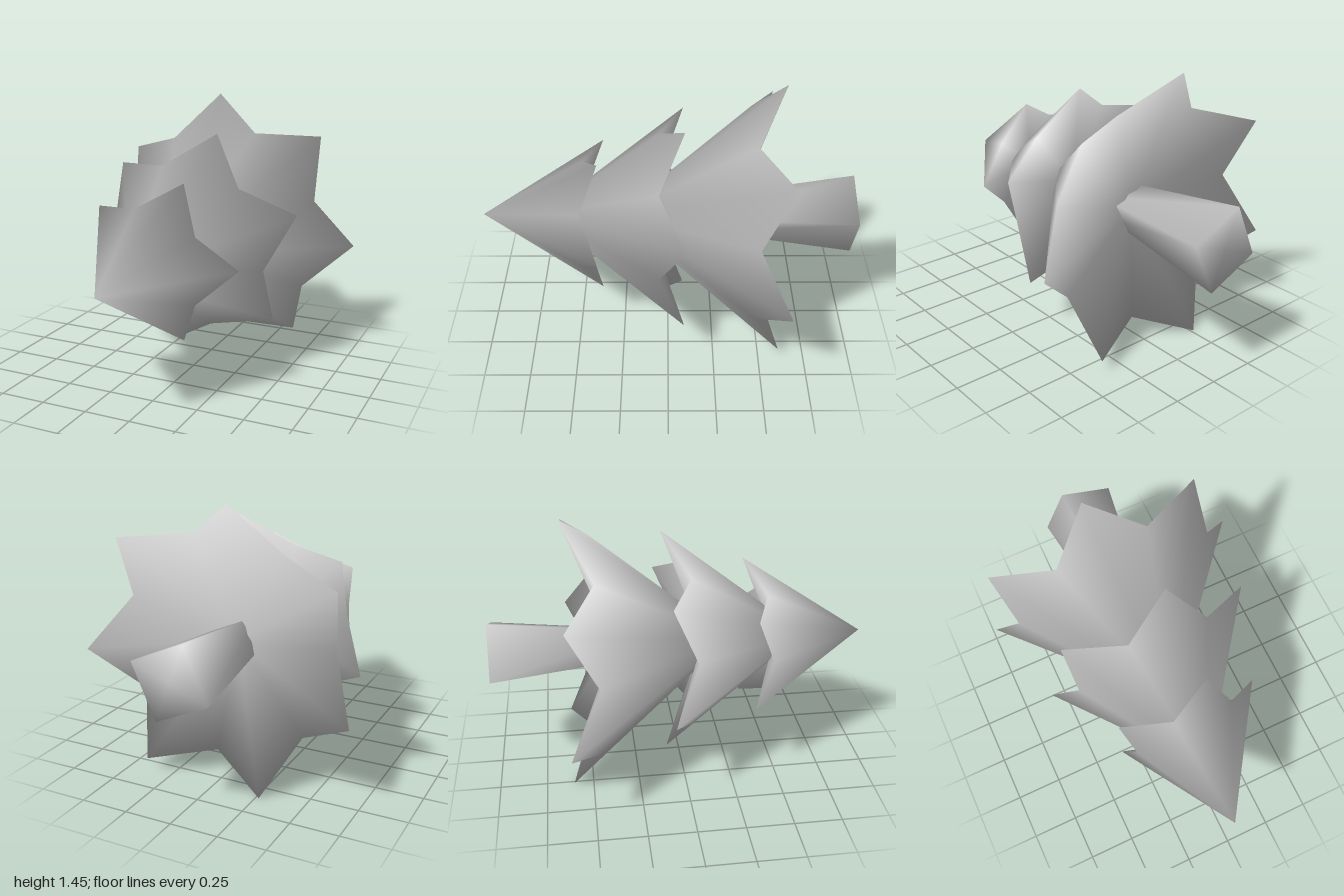
import * as THREE from 'three';

const CX = -0.02, CY = 0.712; // tree axis, running along z

// Ring of points, counter-clockwise seen from the tip; each spoke is [radius, z]
function ring(count, phaseDeg, spokes) {
  const n = count * spokes.length, pts = [];
  for (let i = 0; i < n; i++) {
    const a = THREE.MathUtils.degToRad(phaseDeg) + (i / n) * Math.PI * 2;
    const [r, z] = spokes[i % spokes.length];
    pts.push(new THREE.Vector3(CX + r * Math.cos(a), CY + r * Math.sin(a), z));
  }
  return pts;
}

// Closed solid through the rings from a front centre to a back centre,
// with normals averaged evenly over the faces at every shared vertex
function loft(frontZ, rings, backZ) {
  const n = rings[0].length;
  const pts = [new THREE.Vector3(CX, CY, frontZ), ...rings.flat(), new THREE.Vector3(CX, CY, backZ)];
  const last = pts.length - 1, faces = [];
  const id = (k, i) => 1 + k * n + (i % n);
  for (let i = 0; i < n; i++) {
    faces.push([0, id(0, i), id(0, i + 1)]);
    for (let k = 0; k < rings.length - 1; k++) {
      faces.push([id(k, i), id(k + 1, i), id(k + 1, i + 1)], [id(k, i), id(k + 1, i + 1), id(k, i + 1)]);
    }
    faces.push([last, id(rings.length - 1, i + 1), id(rings.length - 1, i)]);
  }
  const normals = pts.map(() => new THREE.Vector3());
  const tri = new THREE.Triangle(), fn = new THREE.Vector3();
  for (const f of faces) {
    tri.set(pts[f[0]], pts[f[1]], pts[f[2]]).getNormal(fn);
    f.forEach((v) => normals[v].add(fn));
  }
  const flat = (list) => new THREE.Float32BufferAttribute(list.flatMap((v) => v.toArray()), 3);
  const geo = new THREE.BufferGeometry();
  geo.setAttribute('position', flat(pts));
  geo.setAttribute('normal', flat(normals.map((v) => v.normalize())));
  geo.setIndex(faces.flat());
  return geo;
}

export function createModel() {
  const group = new THREE.Group();
  group.name = 'fallenTree';
  const grey = new THREE.MeshStandardMaterial({ color: 0xcccccc });
  grey.name = 'lightGrey';
  const add = (name, geo) => {
    const mesh = new THREE.Mesh(geo, grey);
    mesh.name = name;
    group.add(mesh);
  };

  // Star-edged branch tiers, hollowed underneath
  const tiers = [
    { name: 'topBranches', points: 5, phase: 0, apex: 1, tip: [0.43, 0.36], notch: [0.295, 0.457], hollow: 0.53 },
    { name: 'middleBranches', points: 6, phase: 18.8, apex: 0.69, tip: [0.603, -0.085], notch: [0.447, 0.045], hollow: 0.13 },
    { name: 'bottomBranches', points: 7, phase: -6.3, apex: 0.28, tip: [0.75, -0.605], notch: [0.583, -0.45], hollow: -0.35 },
  ];
  for (const t of tiers) {
    add(t.name, loft(t.apex, [ring(t.points, t.phase, [t.tip, t.notch])], t.hollow));
  }

  // Four-sided trunk, wider at the foot
  add('trunk', loft(-0.2, [ring(4, 21, [[0.1, -0.2]]), ring(4, 21, [[0.213, -1]])], -1));

  return group;
}
